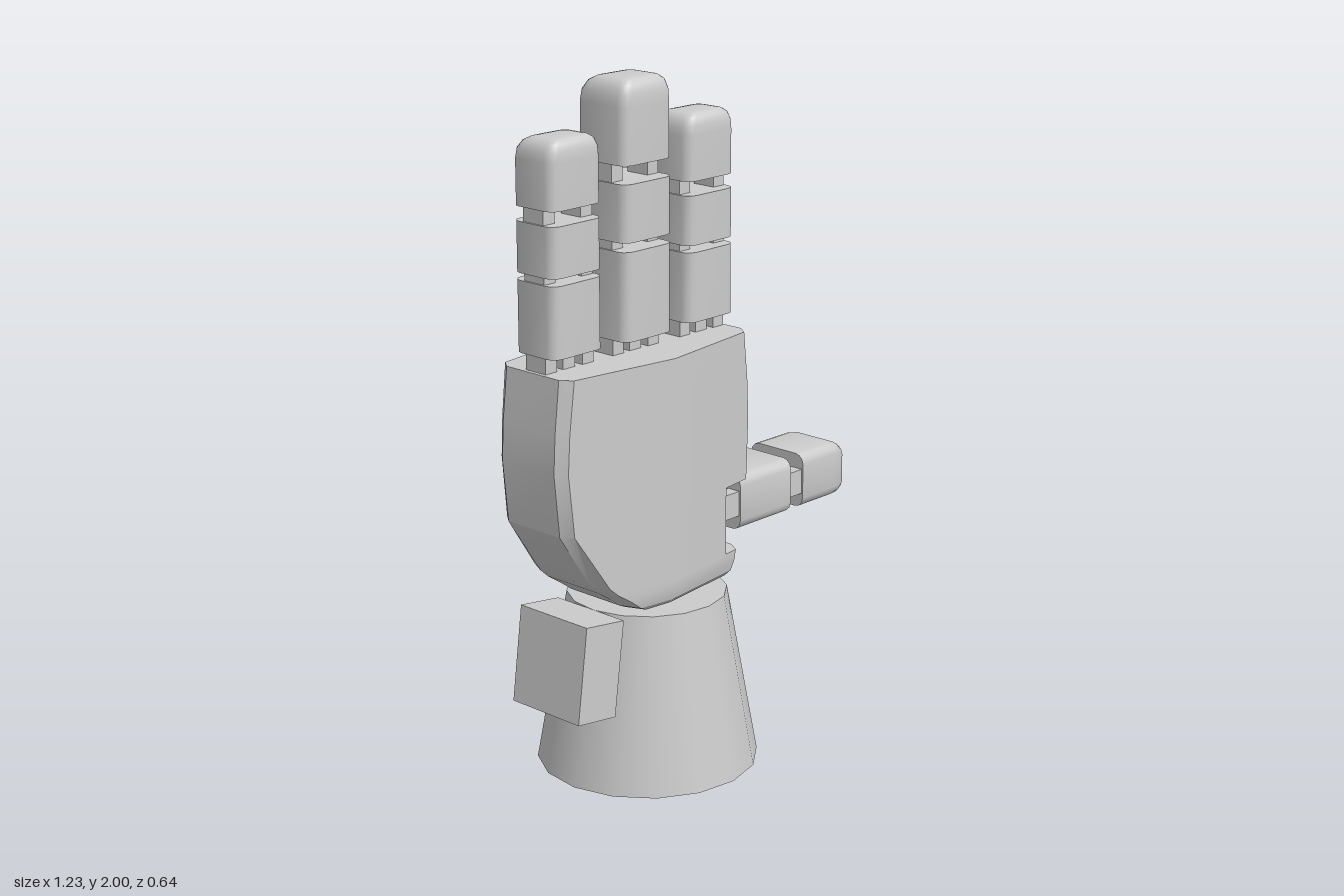
import * as THREE from 'three';
import { toCreasedNormals } from 'three/addons/utils/BufferGeometryUtils.js';

const material = new THREE.MeshStandardMaterial({ color: 0xcccccc });

function add(parent, name, geometry, x = 0, y = 0, z = 0) {
  const mesh = new THREE.Mesh(geometry, material);
  mesh.name = name;
  mesh.position.set(x, y, z);
  parent.add(mesh);
  return mesh;
}

// Skin over rings of [x, y, z] points, listed bottom to top, with capped ends
function loft(rings, crease = 0.6) {
  const n = rings[0].length;
  const pos = [];
  const tri = (...pts) => pts.forEach((p) => pos.push(...p));
  const middle = (ring) => [0, 1, 2].map((k) => ring.reduce((s, p) => s + p[k], 0) / n);
  const first = rings[0], last = rings[rings.length - 1];
  for (let i = 0; i < n; i++) {
    const j = (i + 1) % n;
    for (let r = 0; r < rings.length - 1; r++) {
      const a = rings[r], b = rings[r + 1];
      tri(a[i], a[j], b[j]);
      tri(a[i], b[j], b[i]);
    }
    tri(middle(first), first[j], first[i]);
    tri(middle(last), last[i], last[j]);
  }
  const geometry = new THREE.BufferGeometry();
  geometry.setAttribute('position', new THREE.Float32BufferAttribute(pos, 3));
  return toCreasedNormals(geometry, crease);
}

// Rectangle with rounded corners at height y
function roundedRing(y, halfW, z0, z1, radius) {
  const ring = [];
  const cz = (z0 + z1) / 2, halfD = (z1 - z0) / 2;
  for (let q = 0; q < 4; q++) {
    const sx = q === 0 || q === 3 ? 1 : -1, sz = q < 2 ? -1 : 1;
    for (let k = 0; k <= 3; k++) {
      const a = (q + k / 3) * Math.PI / 2;
      ring.push([
        sx * (halfW - radius) + radius * Math.cos(a), y,
        cz + sz * (halfD - radius) - radius * Math.sin(a),
      ]);
    }
  }
  return ring;
}

// Finger along +y: straight blocks, a domed tip, and paired lugs in the gaps
function finger(name, halfW, halfD, start, blocks, tip) {
  const group = new THREE.Group();
  group.name = name;
  const r = 0.03;
  blocks.forEach(([y0, y1]) => add(group, 'fingerSegment', loft([
    roundedRing(y0, halfW, -halfD, halfD, r),
    roundedRing(y1, halfW, -halfD, halfD, r),
  ])));

  const [t0, t1] = tip;
  const dome = [[0, 1, -1, 1], [0.68, 1, -1, 1], [0.82, 0.97, -0.94, 0.99],
    [0.93, 0.87, -0.75, 0.92], [0.985, 0.72, -0.5, 0.78], [1, 0.55, -0.3, 0.6]];
  add(group, 'fingertip', loft(dome.map(([h, w, back, front]) =>
    roundedRing(t0 + (t1 - t0) * h, halfW * w, halfD * back, halfD * front, r * w)), 0.8));

  // Hinge lugs leave an open slot in the middle of each joint
  const starts = [...blocks.map((b) => b[0]), t0];
  const ends = [start, ...blocks.map((b) => b[1])];
  starts.forEach((top, i) => {
    const height = top - ends[i] + (i ? 0.02 : 0.01);
    for (const side of [-1, 1]) {
      add(group, 'hingeLug', new THREE.BoxGeometry(0.042, height, 0.075),
        side * (halfW - 0.026), (top + ends[i]) / 2, 0);
    }
  });
  return group;
}

function palmRing(y, left, right, depth = 1, chamfer = 0.025) {
  const ridge = -0.23;
  const halfZ = (x) => 0.18 - 0.05 * Math.abs(x - ridge) / 0.36;
  const r = right - chamfer, l = left + 0.025;
  const half = [[right, 0.1], [r, halfZ(r)], [ridge, 0.18], [l, halfZ(l)], [left, 0.1]];
  return [
    ...half.map(([x, z]) => [x, y, -z * depth]),
    ...half.reverse().map(([x, z]) => [x, y, z * depth]),
  ];
}

export function createModel() {
  const hand = new THREE.Group();
  hand.name = 'mechanicalHand';

  // Wrist cuff and the small box on its outer side
  const cuff = new THREE.CylinderGeometry(0.23, 0.32, 0.51, 16);
  add(hand, 'wristCuff', cuff, -0.16, 0.255, 0).rotation.y = 0.06;
  add(hand, 'wristBox', new THREE.BoxGeometry(0.145, 0.28, 0.26), -0.478, 0.38, 0).rotation.z = -0.13;
  add(hand, 'wristJoint', new THREE.CylinderGeometry(0.1, 0.1, 0.06, 16), -0.16, 0.52, 0);

  // Palm with a notch cut through its inner edge for the thumb
  add(hand, 'palm', loft([
    palmRing(0.525, -0.34, 0.06, 0.86),
    palmRing(0.54, -0.37, 0.073, 0.95),
    palmRing(0.57, -0.41, 0.082),
    palmRing(0.6, -0.455, 0.09),
    palmRing(0.6, -0.455, 0.045, 1, 0.03),
    palmRing(0.625, -0.483, 0.045, 1, 0.03),
    palmRing(0.8, -0.6, 0.045, 1, 0.03),
    palmRing(0.8, -0.6, 0.14),
    palmRing(0.98, -0.618, 0.148),
    palmRing(1.09, -0.612, 0.143),
    palmRing(1.24, -0.595, 0.125),
  ], 0.45));

  // Three upright fingers
  const outerBlocks = [[1.285, 1.485], [1.505, 1.645]];
  const outerTip = [1.685, 1.872];
  const fingers = [
    ['outerFinger', -0.493, 0.078, outerBlocks, outerTip],
    ['middleFinger', -0.238, 0.093, [[1.285, 1.535], [1.56, 1.72]], [1.77, 2]],
    ['innerFinger', 0.028, 0.078, outerBlocks, outerTip],
  ];
  for (const [name, x, halfD, blocks, tip] of fingers) {
    const part = finger(name, 0.095, halfD, 1.24, blocks, tip);
    part.position.x = x;
    hand.add(part);
    add(part, 'knuckleLug', new THREE.BoxGeometry(0.045, 0.05, 0.07), 0, 1.265, 0);
  }

  // Thumb: the same build turned to point along +x
  const thumb = finger('thumb', 0.102, 0.082, 0.035, [[0.125, 0.347]], [0.402, 0.615]);
  thumb.quaternion.setFromRotationMatrix(new THREE.Matrix4().makeBasis(
    new THREE.Vector3(0, 0, -1), new THREE.Vector3(1, 0, 0), new THREE.Vector3(0, -1, 0)));
  thumb.position.y = 0.714;
  hand.add(thumb);

  return hand;
}
